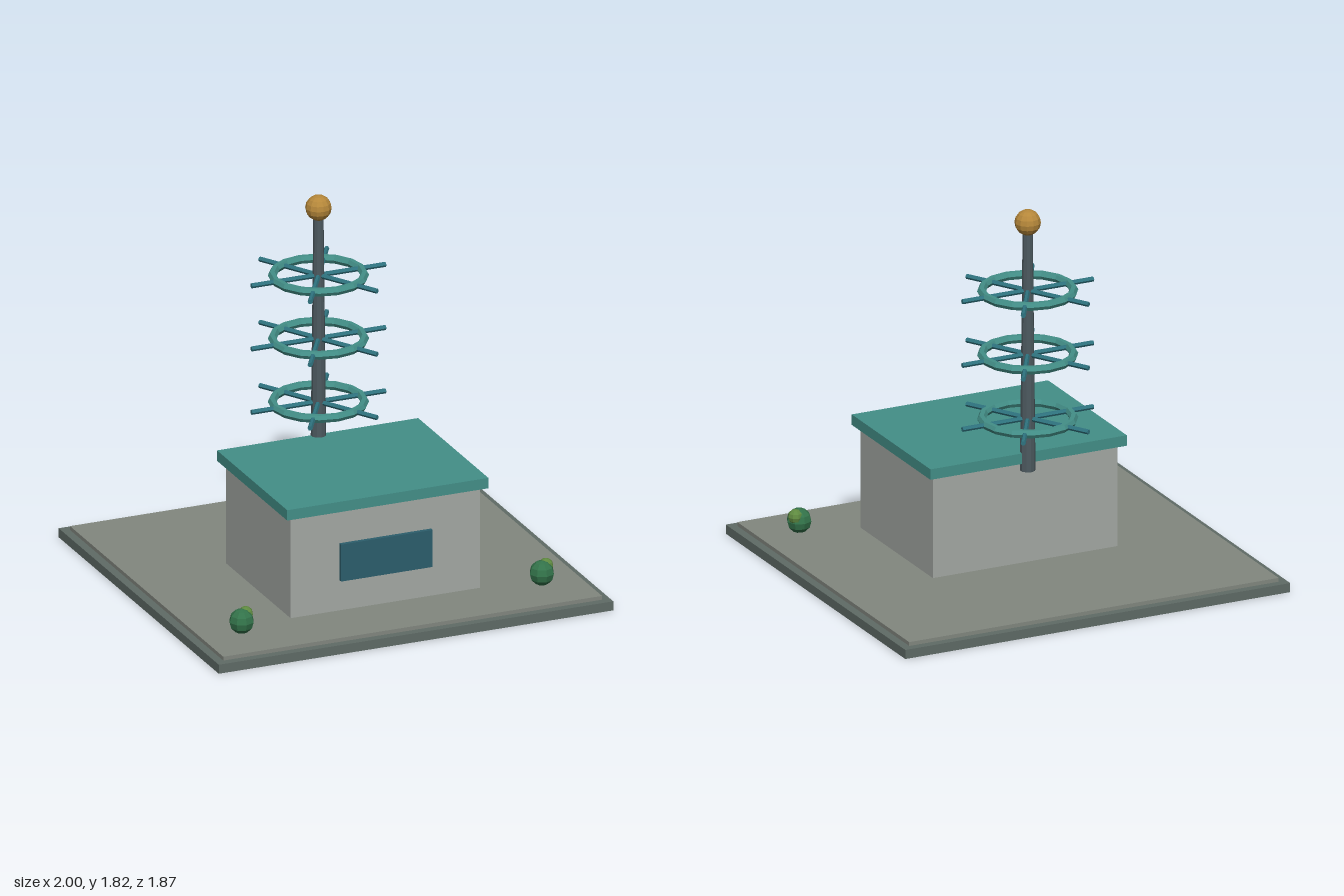
import * as THREE from 'three';

const COLORS = {
  base: 0x5f6b66, paving: 0x82877f, wall: 0xa3a8a3, roof: 0x438f88, glass: 0x2c5e6c,
  mast: 0x4d5a60, spoke: 0x2f7480, gold: 0xb5873a, bush: 0x33734a, bushTop: 0x5f8a40,
};
const materials = {};
for (const [key, color] of Object.entries(COLORS)) {
  materials[key] = new THREE.MeshStandardMaterial({ color, flatShading: true });
}

function add(parent, name, geometry, material, x = 0, y = 0, z = 0) {
  const mesh = new THREE.Mesh(geometry, materials[material]);
  mesh.name = name;
  mesh.position.set(x, y, z);
  parent.add(mesh);
  return mesh;
}

// Box given by its bottom and top heights and its back and front depths
function block(parent, name, material, width, y0, y1, z0, z1) {
  const geometry = new THREE.BoxGeometry(width, y1 - y0, z1 - z0);
  return add(parent, name, geometry, material, 0, (y0 + y1) / 2, (z0 + z1) / 2);
}

// Flat ring crossed by three long rods
function antennaRing(y) {
  const ring = new THREE.Group();
  ring.name = 'antennaRing';
  ring.position.y = y;
  add(ring, 'hoop', new THREE.TorusGeometry(0.215, 0.021, 6, 16).rotateX(Math.PI / 2), 'roof');
  for (let i = 0; i < 3; i++) {
    const rod = new THREE.CylinderGeometry(0.012, 0.012, 0.68, 6).rotateZ(Math.PI / 2);
    add(ring, 'spoke', rod, 'spoke').rotation.y = (i * Math.PI) / 3;
  }
  return ring;
}

function bush(x) {
  const group = new THREE.Group();
  group.name = 'bush';
  group.position.set(x, 0.122, 0.65);
  add(group, 'bushBody', new THREE.SphereGeometry(0.06, 8, 6), 'bush');
  add(group, 'bushTuft', new THREE.SphereGeometry(0.036, 8, 6), 'bushTop', 0.027, 0.027, -0.015);
  return group;
}

export function createModel() {
  const model = new THREE.Group();
  model.name = 'transmitterStation';

  // Stepped ground slab
  block(model, 'baseSlab', 'base', 2, 0, 0.045, -0.935, 0.935);
  block(model, 'paving', 'paving', 1.92, 0.045, 0.064, -0.895, 0.895);

  // Building
  block(model, 'walls', 'wall', 0.96, 0.06, 0.565, -0.18, 0.575);
  block(model, 'roof', 'roof', 1.02, 0.568, 0.62, -0.215, 0.605);
  block(model, 'window', 'glass', 0.464, 0.215, 0.4, 0.572, 0.595);

  // Mast with three rings and a ball on top
  const mast = new THREE.Group();
  mast.name = 'mast';
  mast.position.z = -0.205;
  add(mast, 'pole', new THREE.CylinderGeometry(0.024, 0.037, 1.19, 10), 'mast', 0, 1.125);
  for (const y of [0.787, 1.104, 1.42]) mast.add(antennaRing(y));
  add(mast, 'ball', new THREE.SphereGeometry(0.062, 12, 8), 'gold', 0, 1.758);
  model.add(mast);

  // Bushes at the front corners
  for (const side of [-1, 1]) model.add(bush(side * 0.761));

  return model;
}
